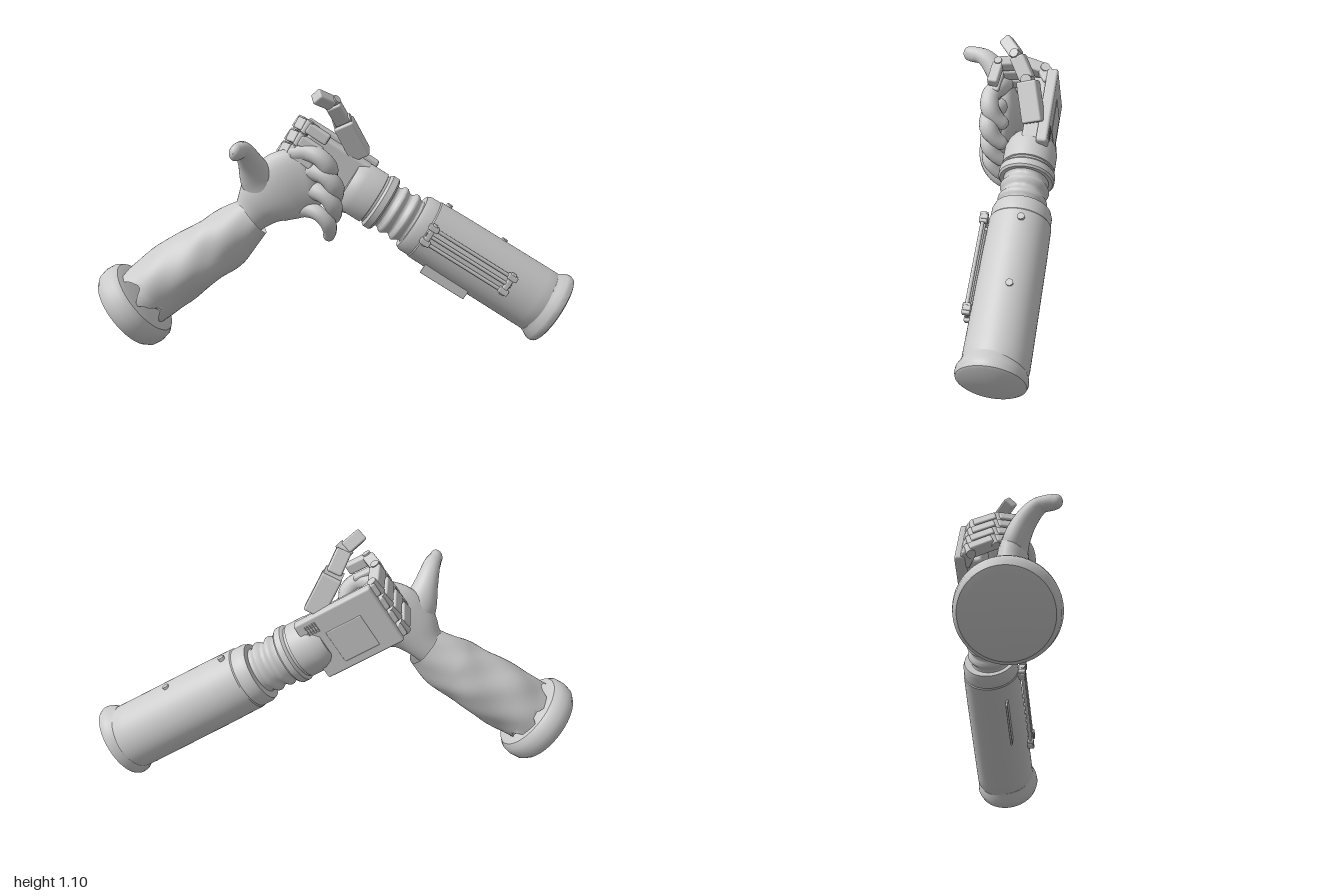
import * as THREE from 'three';
import { toCreasedNormals } from 'three/addons/utils/BufferGeometryUtils.js';
import { RoundedBoxGeometry } from 'three/addons/geometries/RoundedBoxGeometry.js';

const V = (x, y, z) => new THREE.Vector3(x, y, z);
const grey = new THREE.MeshStandardMaterial({ color: 0xcccccc, roughness: 0.7 });
const greyThin = new THREE.MeshStandardMaterial({ color: 0xcccccc, roughness: 0.9, side: THREE.DoubleSide });

function add(parent, name, geo, x = 0, y = 0, z = 0, mat = grey) {
  const m = new THREE.Mesh(geo, mat);
  m.name = name;
  m.position.set(x, y, z);
  parent.add(m);
  return m;
}
const box = (w, h, d, r = 0.008) => new RoundedBoxGeometry(w, h, d, 2, Math.min(r, w / 2.1, h / 2.1, d / 2.1));

// Turned profile along y, squashed in z
function lathe(profile, squash) {
  const g = new THREE.LatheGeometry(profile.map(p => new THREE.Vector2(p[0], p[1])), 56);
  g.scale(1, 1, squash);
  return toCreasedNormals(g, 0.6);
}

// Organic limb: rows of [x, y, z, radius in the frontal plane, radius in depth]
function loft(rows, { round = true, sides = 28, steps = 24, fold = 0, teeth = 0 } = {}) {
  const path = new THREE.CatmullRomCurve3(rows.map(r => V(r[0], r[1], r[2])));
  const size = new THREE.CatmullRomCurve3(rows.map(r => V(r[3], r[4], 0)));
  const pos = [], idx = [], caps = round ? 6 : 0;
  for (let i = 0; i <= steps + caps; i++) {
    const t = Math.min(1, i / steps), c = path.getPoint(t), T = path.getTangent(t), s = size.getPoint(t);
    const A = T.clone().cross(V(0, 0, 1)).normalize(), B = A.clone().cross(T);
    const phi = Math.max(0, i - steps) / 6 * Math.PI / 2 * 0.98;
    c.addScaledVector(T, Math.sin(phi) * Math.min(s.x, s.y));
    for (let j = 0; j < sides; j++) {
      const a = j / sides * Math.PI * 2;
      const k = Math.cos(phi) * (1 + fold * (Math.sin(3 * a + 11 * t) + 0.7 * Math.sin(5 * a - 17 * t)));
      const p = c.clone().addScaledVector(A, Math.cos(a) * s.x * k).addScaledVector(B, Math.sin(a) * s.y * k);
      // torn edge: uneven triangular teeth on the first ring
      if (i === 0) p.addScaledVector(T, teeth * (Math.abs(j % 8 - 4) / 4 - 0.6) * (0.7 + 0.3 * Math.sin(j)));
      pos.push(p.x, p.y, p.z);
      if (i < steps + caps) {
        const n = i * sides + j, m = i * sides + (j + 1) % sides;
        idx.push(n, n + sides, m, m, n + sides, m + sides);
      }
    }
  }
  const g = new THREE.BufferGeometry();
  g.setAttribute('position', new THREE.Float32BufferAttribute(pos, 3));
  g.setIndex(idx);
  g.computeVertexNormals();
  return g;
}

// Chain of box links with a hinge pin at every inner joint
function chain(parent, name, pts, widths, side) {
  const g = new THREE.Group();
  g.name = name;
  for (let i = 0; i < pts.length - 1; i++) {
    const a = pts[i], b = pts[i + 1], w = widths[i];
    const Y = b.clone().sub(a), len = Y.length();
    Y.normalize();
    const Z = side.clone().cross(Y).normalize(), X = Y.clone().cross(Z);
    const q = new THREE.Quaternion().setFromRotationMatrix(new THREE.Matrix4().makeBasis(X, Y, Z));
    const mid = a.clone().lerp(b, 0.5);
    add(g, 'link', box(w, len * 0.94, w * 0.95), mid.x, mid.y, mid.z).quaternion.copy(q);
    if (i === 0) continue;
    const pin = new THREE.CylinderGeometry(w * 0.36, w * 0.36, w * 1.25, 16).rotateZ(Math.PI / 2);
    add(g, 'hingePin', toCreasedNormals(pin, 0.6), a.x, a.y, a.z).quaternion.copy(q);
  }
  parent.add(g);
}

function mechanicalArm() {
  // Local y runs from the capped end to the fingers, local x towards the thumb side
  const arm = new THREE.Group();
  arm.name = 'mechanicalArm';
  arm.position.set(0.91, 0.15, 0);
  arm.rotation.z = THREE.MathUtils.degToRad(58);
  const Z = -0.137;

  add(arm, 'endCap', lathe([[0, -0.016], [0.146, -0.016], [0.158, -0.01], [0.164, 0.004], [0.162, 0.022], [0.148, 0.045],
    [0.142, 0.06], [0, 0.06]], 0.84), 0, 0, Z);
  add(arm, 'forearmShell', lathe([[0, 0.03], [0.135, 0.03], [0.142, 0.05], [0.142, 0.1], [0.139, 0.5], [0.136, 0.645],
    [0.132, 0.65], [0.132, 0.69], [0.124, 0.71], [0, 0.71]], 0.9), 0, 0, Z - 0.007);

  // Ribbed flexible neck
  const ribs = [[0, 0.69]];
  for (let i = 0; i <= 36; i++) ribs.push([0.104 + 0.008 * Math.cos(i / 36 * Math.PI * 6), 0.69 + i / 36 * 0.17]);
  add(arm, 'ribbedNeck', lathe(ribs, 0.88), 0, 0, Z);
  add(arm, 'wrist', lathe([[0, 0.845], [0.118, 0.845], [0.125, 0.853], [0.125, 0.88], [0.118, 0.888], [0.112, 0.89], [0.112, 0.9],
    [0.118, 0.902], [0.118, 0.98], [0.108, 1.01], [0.095, 1.03], [0, 1.03]], 0.9), 0, 0, Z);

  // Palm block with back cover, panel and vents
  add(arm, 'palmBlock', box(0.23, 0.3, 0.08, 0.015), 0, 1.13, -0.145);
  add(arm, 'backCover', box(0.27, 0.35, 0.045, 0.01), 0, 1.135, -0.19);
  add(arm, 'backPanel', box(0.15, 0.16, 0.01, 0.004), -0.025, 1.14, -0.21);
  for (let i = 0; i < 5; i++) add(arm, 'ventRib', box(0.045, 0.005, 0.008, 0.002), 0.09, 1.0 + i * 0.011, -0.212);

  // Four fingers hooking forward and back over the clasped hand
  for (let i = 0; i < 4; i++) {
    const k = 0.1 - i * 0.067, f = 0.145 - i * 0.06;
    chain(arm, 'mechanicalFinger', [V(k, 1.26, -0.185), V(k, 1.318, -0.15), V((k + f) / 2, 1.335, -0.05),
      V(f, 1.305, 0.035), V(f, 1.2, 0.045)], [0.058, 0.054, 0.05, 0.045], V(1, 0, 0));
  }

  // Rods and brackets on the front of the forearm
  for (const x of [-0.015, 0.02, 0.055])
    add(arm, 'sideRod', new THREE.CylinderGeometry(0.008, 0.008, 0.42, 10), x, 0.44, -0.006);
  for (const y of [0.245, 0.635]) {
    add(arm, 'rodBracket', box(0.105, 0.022, 0.03, 0.005), 0.02, y, -0.011);
    for (const x of [-0.015, 0.055]) add(arm, 'rodClamp', box(0.024, 0.045, 0.032, 0.005), x, y, -0.008);
  }
  add(arm, 'sidePlate', box(0.055, 0.22, 0.01, 0.003), -0.127, 0.46, -0.075);

  // Low screw heads along the top
  for (const y of [0.33, 0.61]) {
    const g = new THREE.CylinderGeometry(0.014, 0.014, 0.03, 16).rotateZ(Math.PI / 2);
    add(arm, 'screw', toCreasedNormals(g, 0.6), 0.13, y, -0.165);
  }
  return arm;
}

function humanArm() {
  const arm = new THREE.Group();
  arm.name = 'humanArm';

  // Padded end cuff
  const cuff = add(arm, 'endCuff', lathe([[0, -0.06], [0.14, -0.06], [0.168, -0.053], [0.184, -0.032], [0.189, 0],
    [0.184, 0.035], [0.168, 0.055], [0.14, 0.063], [0, 0.063]], 1.01), -0.848, 0.205, 0.08);
  cuff.rotation.z = THREE.MathUtils.degToRad(-51.5);

  // Creased sleeve with a torn lower edge, drooping before the wrist
  add(arm, 'sleeve', loft([[-0.79, 0.258, 0.075, 0.13, 0.15], [-0.68, 0.34, 0.06, 0.137, 0.143], [-0.56, 0.42, 0.045, 0.125, 0.133],
    [-0.46, 0.49, 0.035, 0.122, 0.115], [-0.35, 0.58, 0.02, 0.088, 0.082]],
  { round: false, sides: 48, steps: 32, fold: 0.022, teeth: 0.1 }), 0, 0, 0, greyThin);

  // Hand
  add(arm, 'palm', loft([[-0.45, 0.51, 0.03, 0.07, 0.06], [-0.36, 0.59, 0.025, 0.08, 0.06], [-0.29, 0.665, 0.03, 0.125, 0.066],
    [-0.21, 0.715, 0.025, 0.148, 0.062], [-0.13, 0.74, 0.02, 0.14, 0.052]]));
  add(arm, 'thumb', loft([[-0.28, 0.64, 0.03, 0.08, 0.055], [-0.325, 0.75, 0.045, 0.073, 0.055], [-0.35, 0.83, 0.085, 0.05, 0.048],
    [-0.37, 0.888, 0.145, 0.036, 0.037], [-0.388, 0.892, 0.215, 0.033, 0.026]]));
  for (let i = 0; i < 4; i++) {
    const x = -0.15 + [0, 0.025, 0.02, 0][i], y = 0.86 - i * 0.08, r = [0.039, 0.039, 0.037, 0.033][i];
    add(arm, 'finger', loft([[x - 0.03, y - 0.01, 0.02, r, r], [x + 0.03, y, 0.035, r * 1.05, r], [x + 0.08, y - 0.015, 0.058, r * 0.95, r * 0.95],
      [x + 0.115, y - 0.055, 0.055, r, r], [x + 0.12, y - 0.095, 0.03, r * 0.85, r * 0.85], [x + 0.115, y - 0.12, 0.005, r * 0.75, r * 0.75]],
    { sides: 16, steps: 20 }));
  }
  return arm;
}

export function createModel() {
  const model = new THREE.Group();
  model.name = 'claspedArms';
  model.add(mechanicalArm(), humanArm());
  // Mechanical thumb raised above the clasp
  chain(model, 'mechanicalThumb', [V(0.092, 0.805, -0.15), V(0.015, 0.96, -0.11), V(-0.025, 1.045, -0.06), V(-0.09, 1.085, 0)],
    [0.085, 0.062, 0.052], V(0.85, 0.45, 0.1));
  return model;
}
